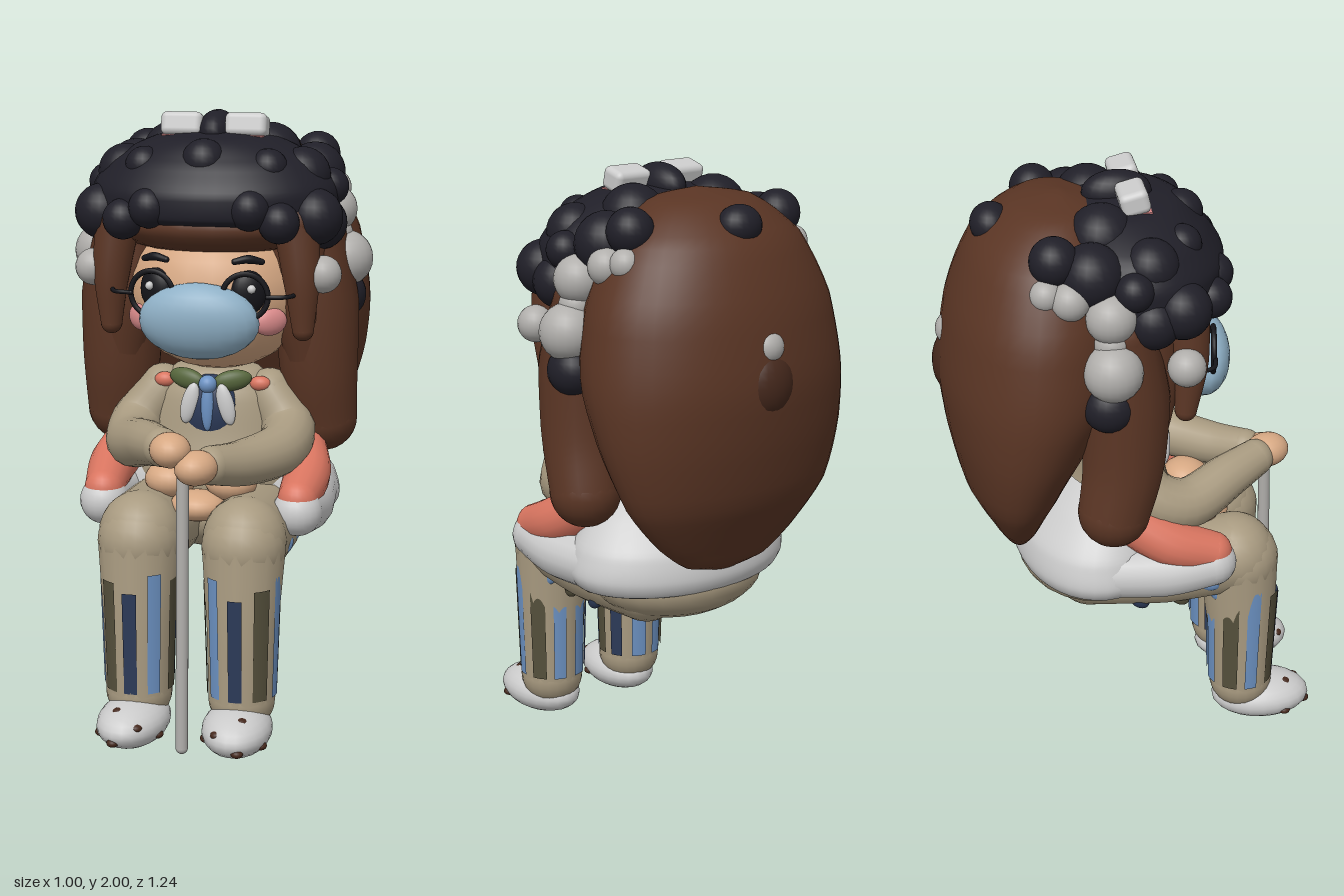
import * as THREE from 'three';
import { mergeVertices } from 'three/addons/utils/BufferGeometryUtils.js';
import { RoundedBoxGeometry } from 'three/addons/geometries/RoundedBoxGeometry.js';

const C = {
  hair: 0x5a3524, darkHair: 0x45281c, black: 0x201f28, grey: 0xb0aeab, white: 0xdedede, skin: 0xd6a883,
  beige: 0xa89a80, coral: 0xd97560, blue: 0x6d93c4, mask: 0x8fb0c6, olive: 0x55503c, navy: 0x2c3a58,
  green: 0x56663c, pink: 0xd98a8a, ink: 0x15151a,
};
const mats = {};
const mat = (c) => (mats[c] ??= new THREE.MeshStandardMaterial({ color: C[c], side: THREE.DoubleSide }));
const V = (p) => new THREE.Vector3(...p);

export function createModel() {
  const root = new THREE.Group();
  const add = (name, geo, color, pos = [0, 0, 0], rot = [0, 0, 0]) => {
    const m = new THREE.Mesh(geo, mat(color));
    m.name = name;
    m.position.set(...pos);
    m.rotation.set(...rot);
    root.add(m);
  };
  // Ellipsoid with radii r
  const ball = (name, color, pos, r, rot) => {
    const [a, b, c] = Array.isArray(r) ? r : [r, r, r];
    add(name, new THREE.SphereGeometry(1, 22, 14).scale(a, b, c), color, pos, rot);
  };
  // Stacked elliptical rings, top to bottom: [y, zCentre, xRadius, zRadius]
  const loft = (name, color, st) => {
    const mid = new THREE.CatmullRomCurve3(st.map(([y, z]) => new THREE.Vector3(0, y, z)));
    const rad = new THREE.CatmullRomCurve3(st.map(([, , a, b]) => new THREE.Vector3(a, b, 0)));
    let g = new THREE.CylinderGeometry(1, 1, 1, 40, 36, true);
    const p = g.attributes.position;
    for (let i = 0; i < p.count; i++) {
      const t = 0.5 - p.getY(i), c = mid.getPoint(t), r = rad.getPoint(t);
      p.setXYZ(i, p.getX(i) * Math.max(r.x, 0), c.y, c.z + p.getZ(i) * Math.max(r.y, 0));
    }
    g.deleteAttribute('uv');
    g.deleteAttribute('normal');
    g = mergeVertices(g, 1e-5);
    g.computeVertexNormals();
    add(name, g, color);
  };
  // Round-ended tube whose radius changes along the path
  const limb = (name, color, pts, radii) => {
    const n = 20, k = 16, curve = new THREE.CatmullRomCurve3(pts.map(V));
    const g = new THREE.TubeGeometry(curve, n, 1, k);
    const p = g.attributes.position, v = new THREE.Vector3();
    for (let i = 0; i <= n; i++) {
      const c = curve.getPointAt(i / n), f = (i / n) * (radii.length - 1);
      const j = Math.min(Math.floor(f), radii.length - 2);
      const r = THREE.MathUtils.lerp(radii[j], radii[j + 1], f - j);
      for (let q = 0; q <= k; q++) {
        const id = i * (k + 1) + q;
        v.fromBufferAttribute(p, id).sub(c).multiplyScalar(r).add(c);
        p.setXYZ(id, v.x, v.y, v.z);
      }
    }
    add(name, g, color);
    ball(name + 'Start', color, pts[0], radii[0]);
    ball(name + 'End', color, pts[pts.length - 1], radii[radii.length - 1]);
  };
  const pair = (fn) => { fn(1, 'left'); fn(-1, 'right'); };

  // Long back hair
  loft('backHair', 'hair', [
    [1.945, -0.21, 0, 0], [1.915, -0.23, 0.18, 0.13], [1.8, -0.255, 0.33, 0.24], [1.6, -0.28, 0.43, 0.295],
    [1.4, -0.3, 0.465, 0.305], [1.2, -0.345, 0.45, 0.245], [1.0, -0.38, 0.385, 0.165],
    [0.85, -0.378, 0.265, 0.09], [0.77, -0.375, 0.16, 0.05], [0.73, -0.37, 0, 0],
  ]);
  ball('backHairBump', 'darkHair', [0, 1.385, -0.55], [0.1, 0.11, 0.073]);
  ball('backHairBead', 'grey', [0, 1.5, -0.55], 0.058);
  ball('backHairSpot', 'black', [0, 1.85, -0.42], [0.075, 0.065, 0.065]);

  // Head and face
  ball('head', 'skin', [0, 1.42, -0.05], [0.31, 0.27, 0.3]);
  ball('fringe', 'hair', [0, 1.645, -0.02], [0.36, 0.11, 0.305]);
  ball('faceMask', 'mask', [0, 1.355, 0.245], [0.195, 0.125, 0.088], [0.18, 0, 0]);
  pair((s, side) => {
    ball(side + 'Eye', 'ink', [s * 0.15, 1.445, 0.2], [0.058, 0.07, 0.03], [0, s * 0.4, 0]);
    ball(side + 'EyeGlint', 'white', [s * 0.165, 1.46, 0.226], 0.014);
    limb(side + 'Brow', 'ink', [[s * 0.11, 1.545, 0.225], [s * 0.15, 1.552, 0.212], [s * 0.19, 1.542, 0.188]], [0.01, 0.014, 0.01]);
    ball(side + 'Cheek', 'pink', [s * 0.21, 1.345, 0.15], [0.06, 0.045, 0.03], [0, s * 0.7, 0]);
    add(side + 'LensRim', new THREE.TorusGeometry(0.072, 0.009, 8, 32), 'ink', [s * 0.15, 1.44, 0.255], [0, s * 0.15, 0]);
    limb(side + 'GlassesArm', 'ink', [[s * 0.22, 1.44, 0.25], [s * 0.28, 1.44, 0.23], [s * 0.31, 1.44, 0.05]], [0.007, 0.007]);
    // Hair locks beside the face and over the shoulders
    limb(side + 'FaceLock', 'hair', [[s * 0.29, 1.66, 0.14], [s * 0.31, 1.48, 0.15], [s * 0.315, 1.32, 0.14]], [0.075, 0.06, 0.035]);
    limb(side + 'ShoulderLock', 'hair', [[s * 0.31, 1.6, -0.06], [s * 0.325, 1.4, -0.05], [s * 0.335, 1.15, -0.06], [s * 0.345, 0.99, -0.09]], [0.11, 0.14, 0.132, 0.115]);
    limb(side + 'InnerLock', 'hair', [[s * 0.27, 1.6, 0.02], [s * 0.28, 1.4, 0.03], [s * 0.31, 1.2, 0.0]], [0.1, 0.09, 0.07]);
    // Ear pompoms
    for (const [x, y, z, r] of [[0.41, 1.52, -0.1, 0.092], [0.37, 1.68, -0.1, 0.078], [0.35, 1.735, -0.22, 0.06], [0.375, 1.5, 0.13, 0.06], [0.33, 1.75, -0.29, 0.05], [0.38, 1.6, -0.1, 0.055]])
      ball(side + 'Pompom', 'grey', [s * x, y, z], r);
    ball(side + 'DarkPompom', 'black', [s * 0.405, 1.4, -0.11], [0.075, 0.08, 0.085]);
  });
  add('glassesBridge', new THREE.CylinderGeometry(0.008, 0.008, 0.16, 8), 'ink', [0, 1.45, 0.265], [0, 0, Math.PI / 2]);

  // Curly cap of dark hair
  loft('curlyCap', 'black', [
    [1.94, -0.02, 0, 0], [1.915, -0.01, 0.2, 0.16], [1.84, 0, 0.345, 0.24], [1.75, 0.01, 0.4, 0.29],
    [1.68, 0.005, 0.4, 0.295], [1.64, -0.01, 0.34, 0.24], [1.63, -0.01, 0, 0],
  ]);
  pair((s, side) => {
    for (const [x, y, z, r] of [
      [0.16, 1.71, 0.245, 0.065], [0.2, 1.83, 0.14, 0.062], [0.345, 1.68, 0.12, 0.09], [0.37, 1.76, -0.03, 0.06],
      [0.35, 1.65, 0.03, 0.085], [0.16, 1.85, -0.1, 0.105], [0.29, 1.84, -0.26, 0.075], [0.29, 1.8, 0.03, 0.09],
      [0.25, 1.67, 0.225, 0.065], [0.3, 1.79, -0.15, 0.1],
    ]) ball(side + 'Curl', 'black', [s * x, y, z], r);
    // Hair bow
    add(side + 'BowLoop', new RoundedBoxGeometry(0.135, 0.075, 0.09, 3, 0.02), 'white', [s * 0.105, 1.95, 0.005], [-0.25, 0, 0]);
    add(side + 'BowTrim', new THREE.BoxGeometry(0.14, 0.015, 0.03), 'pink', [s * 0.095, 1.915, 0.042]);
  });
  ball('frontCurl', 'black', [0, 1.85, 0.17], 0.072);
  ball('bowKnot', 'black', [0, 1.93, -0.03], [0.06, 0.068, 0.11]);

  // Torso, collar and bow tie
  loft('torso', 'beige', [
    [1.18, -0.04, 0, 0], [1.16, -0.03, 0.14, 0.09], [1.08, -0.02, 0.21, 0.125], [0.95, -0.02, 0.25, 0.15],
    [0.8, -0.04, 0.28, 0.2], [0.7, -0.06, 0.26, 0.2], [0.66, -0.06, 0, 0],
  ]);
  ball('shirtFront', 'navy', [0, 1.03, 0.075], [0.1, 0.12, 0.06]);
  ball('tieKnot', 'blue', [0, 1.125, 0.12], 0.03);
  ball('tie', 'blue', [0, 1.05, 0.125], [0.022, 0.08, 0.018]);
  pair((s, side) => {
    ball(side + 'TieWing', 'green', [s * 0.075, 1.135, 0.09], [0.065, 0.034, 0.025], [0, s * 0.3, s * 0.15]);
    ball(side + 'Collar', 'white', [s * 0.06, 1.06, 0.12], [0.028, 0.07, 0.018], [0, 0, s * 0.25]);
    ball(side + 'ShoulderPatch', 'coral', [s * 0.16, 1.12, 0.05], [0.035, 0.025, 0.025]);
    // Arms reach forward to the cane, right hand on top
    const y = s < 0 ? 0.985 : 0.935;
    limb(side + 'Arm', 'beige', [[s * 0.18, 1.08, -0.01], [s * 0.25, 0.98, 0.04], [s * 0.25, 0.935, 0.15], [s * 0.15, y - 0.015, 0.32], [s * 0.08, y, 0.42]], [0.08, 0.09, 0.083, 0.075, 0.062]);
    ball(side + 'Hand', 'skin', [s < 0 ? -0.04 : 0.045, y + 0.005, s < 0 ? 0.47 : 0.48], [0.065, 0.055, 0.075], [0, -s * 0.4, 0]);
    // Coat panel at the side
    limb(side + 'CoatPanel', 'coral', [[s * 0.32, 0.79, 0.235], [s * 0.325, 0.84, 0.1], [s * 0.28, 0.92, -0.04]], [0.065, 0.08, 0.08]);
    ball(side + 'LapFold', 'skin', [s * 0.1, 0.83, 0.22], [0.085, 0.06, 0.08]);
  });
  ball('lapPouch', 'skin', [0, 0.76, 0.27], [0.09, 0.05, 0.08]);

  // Flared coat skirt and its front hem
  loft('coatSkirt', 'white', [
    [0.98, -0.08, 0.2, 0.13], [0.9, -0.1, 0.3, 0.19], [0.8, -0.12, 0.38, 0.25], [0.72, -0.12, 0.4, 0.265],
    [0.665, -0.12, 0.37, 0.245], [0.65, -0.12, 0, 0],
  ]);
  pair((s, side) => limb(side + 'CoatHem', 'white',
    [[s * 0.32, 0.75, 0.235], [s * 0.325, 0.735, 0.1], [s * 0.31, 0.735, -0.1]], [0.08, 0.088, 0.085]));

  // Seated legs with striped trousers, and shoes
  ball('hips', 'beige', [0, 0.665, -0.12], [0.31, 0.145, 0.25]);
  pair((s, side) => {
    limb(side + 'Thigh', 'beige', [[s * 0.14, 0.65, -0.14], [s * 0.165, 0.66, 0.1], [s * 0.17, 0.68, 0.34]], [0.13, 0.14, 0.135]);
    limb(side + 'Shin', 'beige', [[s * 0.17, 0.66, 0.355], [s * 0.17, 0.4, 0.372], [s * 0.17, 0.16, 0.378]], [0.135, 0.116, 0.108]);
    ['navy', 'olive', 'blue', 'olive', 'blue', 'blue', 'navy', 'olive', 'blue'].forEach((c, i) => {
      const h = 0.34 + 0.03 * (i % 3);
      add(side + 'Stripe', new THREE.CylinderGeometry(0.124, 0.113, h, 6, 1, true, s * i * 0.7 - 0.2, 0.38 + 0.08 * (i % 2)), c, [s * 0.17, 0.18 + h / 2, 0.373]);
    });
    // Scattered cloth patches on the thigh
    for (let i = 0; i < 9; i++) {
      const a = 1.0 + (i % 3) * 0.75, z = -0.08 + i * 0.045;
      ball(side + 'Patch', ['blue', 'olive', 'navy', 'blue'][i % 4],
        [s * (0.165 + Math.sin(a) * 0.124), 0.665 + Math.cos(a) * 0.124, z], [0.02, 0.028, 0.04], [0.4 * (i % 3), 0, 0]);
    }
    ball(side + 'Shoe', 'white', [s * 0.17, 0.083, 0.45], [0.113, 0.076, 0.17], [0, s * 0.08, 0]);
    for (const [x, y, z] of [[-0.04, 0.105, 0.575], [0.03, 0.06, 0.6], [0.09, 0.06, 0.52], [-0.09, 0.06, 0.5], [0.03, 0.135, 0.53]])
      ball(side + 'ShoeMark', 'darkHair', [s * (0.17 + x), y, z], [0.02, 0.014, 0.02]);
  });

  // Walking cane
  limb('cane', 'grey', [[0, 0.02, 0.5], [0, 0.5, 0.485], [0, 0.96, 0.47]], [0.02, 0.02]);
  return root;
}
